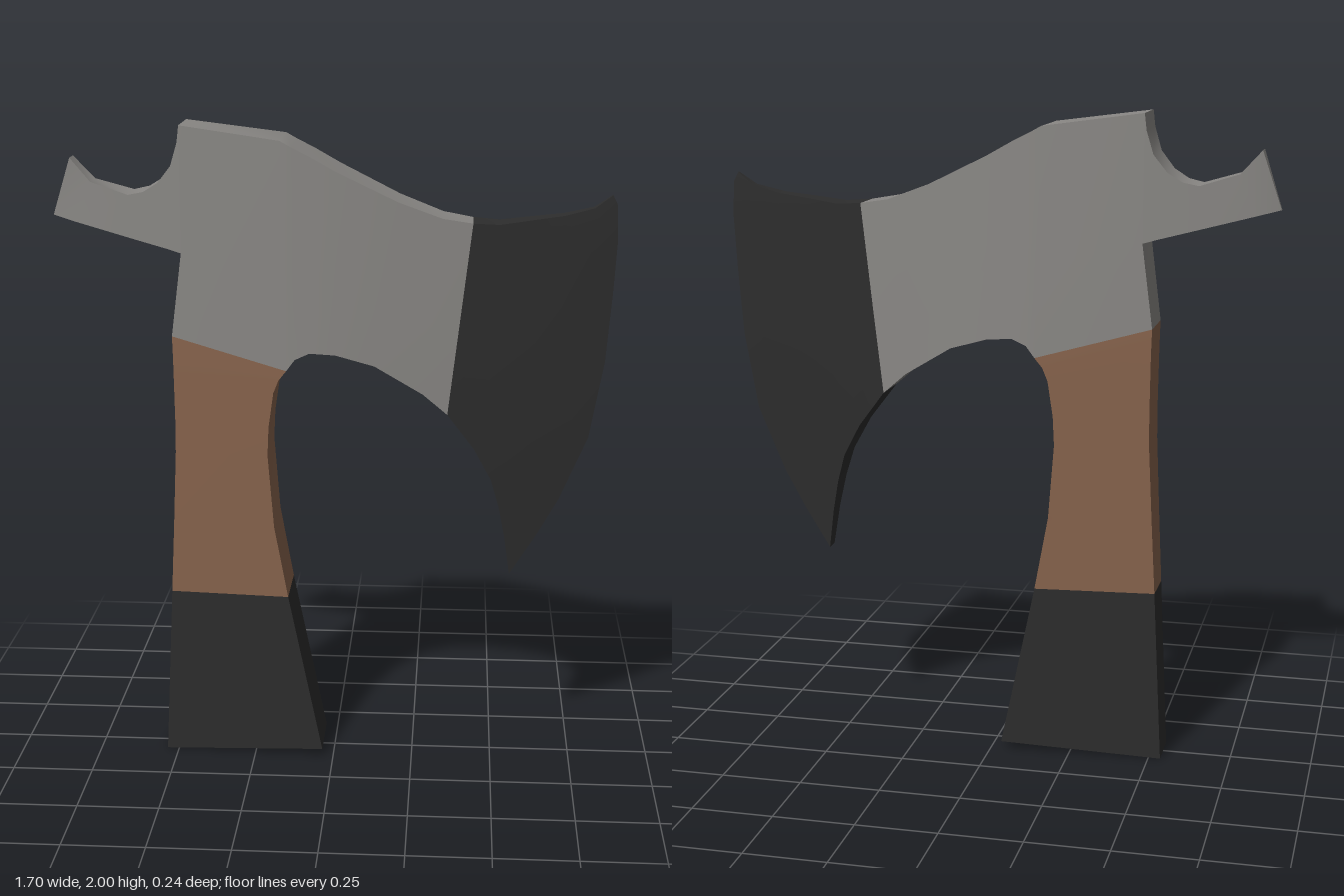
import * as THREE from 'three';
import { toCreasedNormals } from 'three/addons/utils/BufferGeometryUtils.js';

const lerp = THREE.MathUtils.lerp;

// Piecewise linear lookup in a list of [key, value]
function lookup(table, k) {
  if (k <= table[0][0]) return table[0][1];
  for (let i = 1; i < table.length; i++) {
    const [k0, v0] = table[i - 1], [k1, v1] = table[i];
    if (k <= k1) return lerp(v0, v1, (k - k0) / (k1 - k0));
  }
  return table[table.length - 1][1];
}

// Half thickness: widest at the eye of the head, tapering to spike and blade
const ALONG = [[-0.86, 0.006], [-0.8, 0.03], [-0.6, 0.068], [-0.45, 0.092], [-0.15, 0.12],
  [0, 0.117], [0.2, 0.095], [0.42, 0.066]];
const UP = [[0, 0.86], [0.54, 0.86], [1.3, 1], [2, 0.93]];
const half = (x, y) => lookup(ALONG, x) * lookup(UP, y);

// Closed slab from a grid of points: ribs run left to right, points in a rib run upward
function slab(name, material, ribs) {
  const pos = [];
  const grid = ribs.map(r => r.map(([x, y, h = half(x, y)]) => [x, y, h]));
  const quad = (a, b, c, d) => pos.push(...a, ...b, ...c, ...a, ...c, ...d);
  const F = p => p;
  const B = p => [p[0], p[1], -p[2]];
  const n = grid.length - 1, m = grid[0].length - 1;
  for (let i = 0; i < n; i++) {
    for (let j = 0; j < m; j++) {
      const a = grid[i][j], b = grid[i + 1][j], c = grid[i + 1][j + 1], d = grid[i][j + 1];
      quad(F(a), F(b), F(c), F(d));
      quad(B(d), B(c), B(b), B(a));
    }
  }
  // Rim, counter-clockwise around the outline
  const rim = [];
  for (let i = 0; i < n; i++) rim.push(grid[i][0]);
  for (let j = 0; j < m; j++) rim.push(grid[n][j]);
  for (let i = n; i > 0; i--) rim.push(grid[i][m]);
  for (let j = m; j > 0; j--) rim.push(grid[0][j]);
  rim.forEach((a, i) => {
    const b = rim[(i + 1) % rim.length];
    quad(F(a), B(a), B(b), F(b));
  });
  const geometry = new THREE.BufferGeometry();
  geometry.setAttribute('position', new THREE.Float32BufferAttribute(pos, 3));
  const mesh = new THREE.Mesh(toCreasedNormals(geometry, 0.55), material);
  mesh.name = name;
  return mesh;
}

// Blade grid blended between its four outline curves
function bladeRibs(bottom, top, edge) {
  const n = bottom.length - 1, m = edge.length - 1;
  return bottom.map((b, i) => edge.map((e, j) => {
    const u = i / n, v = j / m, t = top[i];
    const p = [0, 1].map(k => {
      const inner = lerp(bottom[0][k], top[0][k], v);
      return lerp(inner, e[k], u) + lerp(b[k], t[k], v)
        - lerp(lerp(bottom[0][k], bottom[n][k], u), lerp(top[0][k], top[n][k], u), v);
    });
    const ix = lerp(bottom[0][0], top[0][0], v), iy = lerp(bottom[0][1], top[0][1], v);
    const thin = lookup([[0, 0.023], [0.3, 0.012], [1, 0.005]], v);
    return [...p, lerp(half(ix, iy), thin, u)];
  }));
}

export function createModel() {
  const material = (name, color) => {
    const m = new THREE.MeshStandardMaterial({ color });
    m.name = name;
    return m;
  };
  const steel = material('grey steel', 0x8a8885);
  const wood = material('brown wood', 0x88644d);
  const black = material('dark metal', 0x2d2d2d);

  const group = new THREE.Group();
  group.name = 'axe';

  // Flared grip
  group.add(slab('grip', black, [
    [[-0.537, 0], [-0.51, 0.54]],
    [[-0.034, 0.025], [-0.14, 0.54]],
  ]));

  // Curved wooden handle: back edge, then front edge
  group.add(slab('handle', wood, [
    [[-0.51, 0.54], [-0.498, 0.77], [-0.487, 1], [-0.486, 1.1], [-0.487, 1.2], [-0.488, 1.29], [-0.49, 1.365]],
    [[-0.14, 0.54], [-0.182, 0.77], [-0.2, 1], [-0.196, 1.09], [-0.18, 1.2], [-0.164, 1.24], [-0.14, 1.27]],
  ]));

  // Head: lower and upper outline, with a middle row
  const lower = [[-0.14, 1.27], [-0.114, 1.305], [-0.07, 1.325], [0.008, 1.32], [0.125, 1.285], [0.272, 1.195], [0.347, 1.13]];
  const upper = [[-0.156, 1.96], [-0.12, 1.94], [-0.07, 1.915], [0.01, 1.87], [0.193, 1.78], [0.325, 1.73], [0.415, 1.715]];
  group.add(slab('head', steel, [
    [[-0.49, 1.365], [-0.457, 1.62], [-0.457, 2]],
    ...lower.map((a, i) => [a, [0, 1].map(k => lerp(a[k], upper[i][k], 0.4)), upper[i]]),
  ]));

  // Back spike with a scooped top
  group.add(slab('spike', steel, [
    [[-0.854, 1.72], [-0.796, 1.895]],
    [[-0.78, 1.702], [-0.733, 1.825]],
    [[-0.66, 1.672], [-0.617, 1.79]],
    [[-0.6, 1.657], [-0.57, 1.8]],
    [[-0.56, 1.647], [-0.525, 1.828]],
    [[-0.5, 1.632], [-0.484, 1.88]],
    [[-0.475, 1.625], [-0.463, 1.95]],
    [[-0.457, 1.62], [-0.457, 2]],
  ]));

  // Bearded blade
  group.add(slab('blade', black, bladeRibs(
    [[0.347, 1.13], [0.43, 1.02], [0.484, 0.92], [0.51, 0.83], [0.53, 0.73], [0.548, 0.605]],
    [[0.415, 1.715], [0.495, 1.71], [0.59, 1.723], [0.685, 1.735], [0.775, 1.757], [0.828, 1.795]],
    [[0.548, 0.605], [0.63, 0.735], [0.695, 0.85], [0.78, 1.05], [0.822, 1.29], [0.838, 1.5],
      [0.847, 1.66], [0.843, 1.765], [0.828, 1.795]],
  )));

  return group;
}
